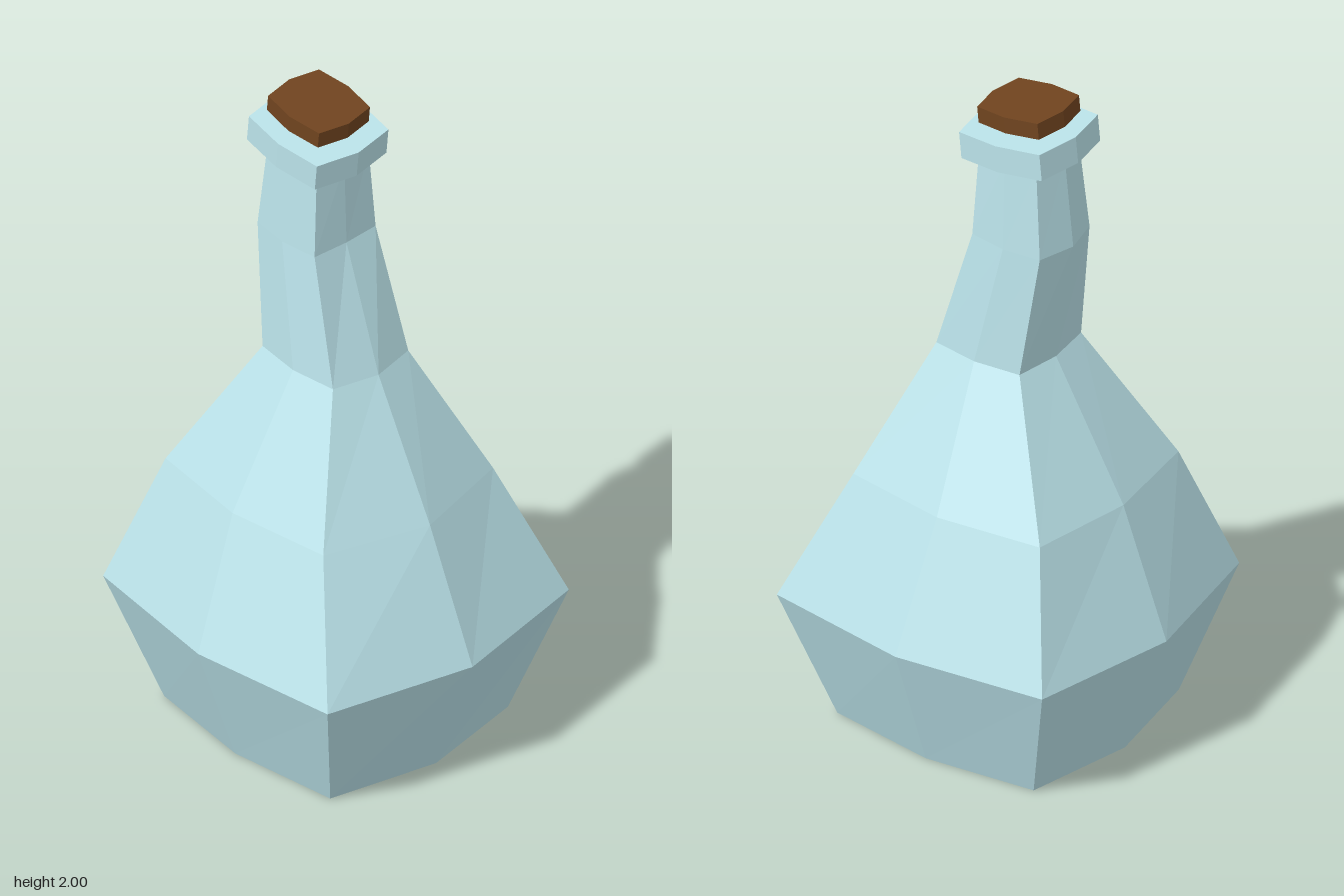
import * as THREE from 'three';

const TILT = 0.1; // lean of the bottle mouth and cork

// Eight-sided ring, from above: [y, leftMid, leftCorner, rightCorner, rightMid, cornerZ, midZ, slope]
function ringPoints([y, lm, lc, rc, rm, cz, mz, slope = 0]) {
  const cx = (lc + rc) / 2;
  return [[rm, 0], [rc, -cz], [cx, -mz], [lc, -cz], [lm, 0], [lc, cz], [cx, mz], [rc, cz]]
    .map(([x, z]) => [x, y - slope * (x - cx), z]);
}

// Closed solid skinned over a stack of rings
function loft(name, material, sections) {
  const rings = sections.map(ringPoints);
  const positions = [];
  const tri = (a, b, c) => positions.push(...a, ...b, ...c);
  for (let i = 0; i < rings.length - 1; i++) {
    for (let j = 0; j < 8; j++) {
      const k = (j + 1) % 8;
      const [a, b, c, d] = [rings[i][j], rings[i][k], rings[i + 1][k], rings[i + 1][j]];
      tri(a, b, c);
      tri(a, c, d);
    }
  }
  const bottom = rings[0], top = rings[rings.length - 1];
  for (let j = 1; j < 7; j++) {
    tri(bottom[0], bottom[j + 1], bottom[j]);
    tri(top[0], top[j], top[j + 1]);
  }
  const geometry = new THREE.BufferGeometry();
  geometry.setAttribute('position', new THREE.Float32BufferAttribute(positions, 3));
  geometry.computeVertexNormals();
  const mesh = new THREE.Mesh(geometry, material);
  mesh.name = name;
  return mesh;
}

// Tilted slab: the upper ring shifts along the leaning axis
function slab(name, material, cx, y, height, midX, cornerX, cornerZ, midZ) {
  const section = (h) => {
    const x = cx + h * TILT;
    return [y + h, x - midX, x - cornerX, x + cornerX, x + midX, cornerZ, midZ, TILT];
  };
  return loft(name, material, [section(-height / 2), section(height / 2)]);
}

export function createModel() {
  const group = new THREE.Group();
  group.name = 'bottle';
  const glass = new THREE.MeshStandardMaterial({ color: 0xbbe3ea, flatShading: true });
  const cork = new THREE.MeshStandardMaterial({ color: 0x70441f, flatShading: true });

  // Faceted body flowing into the crooked neck
  group.add(loft('bodyAndNeck', glass, [
    [0, -0.415, -0.35, 0.335, 0.405, 0.335, 0.38],
    [0.4, -0.56, -0.47, 0.455, 0.555, 0.455, 0.52],
    [0.79, -0.41, -0.36, 0.29, 0.38, 0.32, 0.365],
    [1.19, -0.175, -0.155, 0.135, 0.168, 0.142, 0.16],
    [1.57, -0.235, -0.205, 0.03, 0.036, 0.115, 0.13],
    [1.84, -0.205, -0.18, 0.02, 0.027, 0.098, 0.112, TILT],
  ]));

  // Lip around the mouth
  group.add(slab('lip', glass, -0.083, 1.874, 0.082, 0.165, 0.14, 0.135, 0.153));

  // Cork: narrow stem and wider cap
  group.add(slab('corkStem', cork, -0.081, 1.92, 0.08, 0.075, 0.064, 0.056, 0.066));
  group.add(slab('corkCap', cork, -0.08, 1.963, 0.05, 0.123, 0.105, 0.096, 0.111));

  return group;
}
